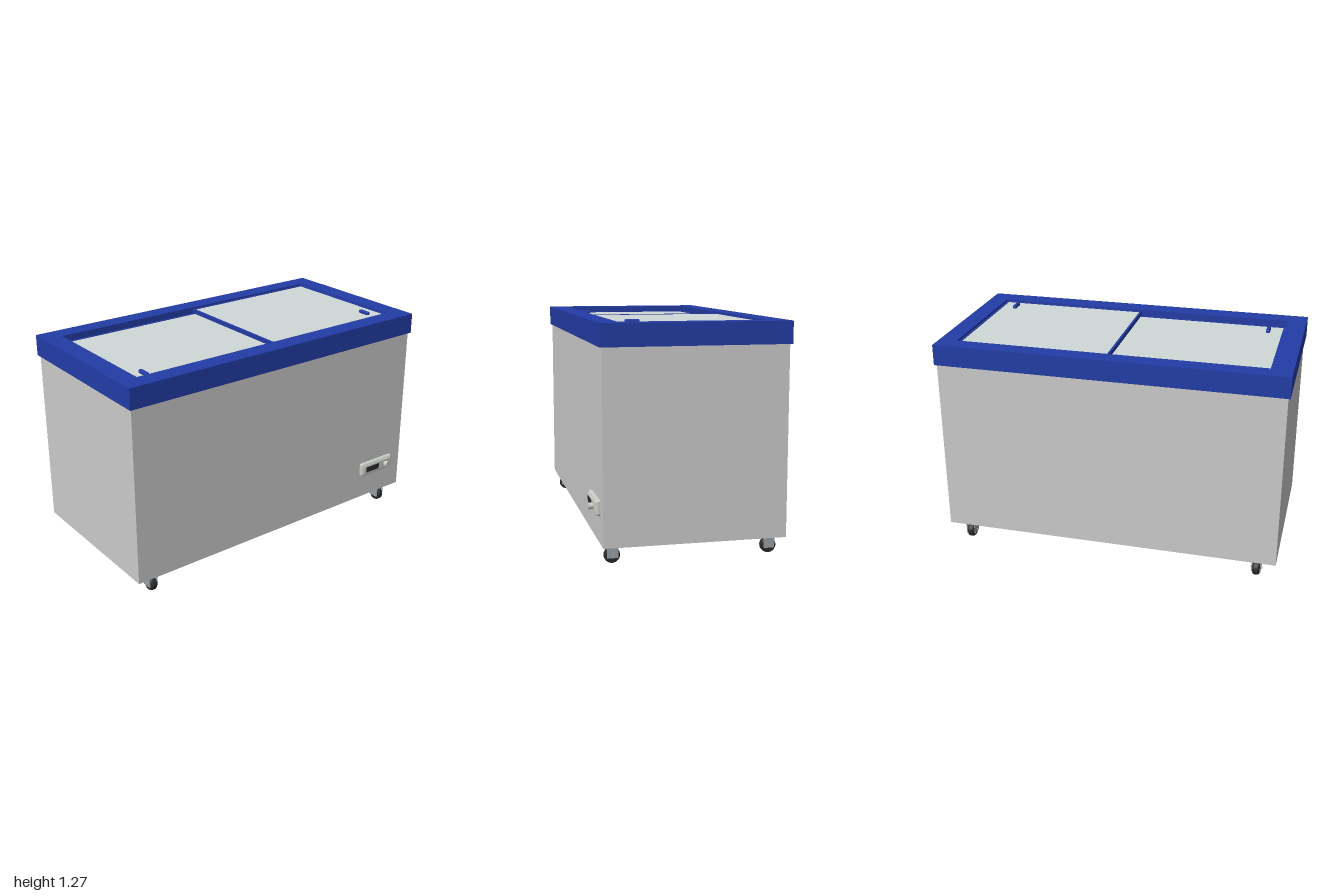
import * as THREE from 'three';
import { RoundedBoxGeometry } from 'three/addons/geometries/RoundedBoxGeometry.js';

const paint = (color) => new THREE.MeshStandardMaterial({ color });
const grey = paint(0xcccccc);
const blue = paint(0x233ca6);
const glass = paint(0xcfd8d8);
const steel = paint(0x98a0a4);
const rubber = paint(0x2b2c2e);
const panelGrey = paint(0xc9cdc6);

function add(parent, name, geometry, material, x = 0, y = 0, z = 0) {
  const mesh = new THREE.Mesh(geometry, material);
  mesh.name = name;
  mesh.position.set(x, y, z);
  parent.add(mesh);
  return mesh;
}

// Box given by its limits on each axis
function block(parent, name, material, [x0, x1], [y0, y1], [z0, z1]) {
  return add(parent, name, new THREE.BoxGeometry(x1 - x0, y1 - y0, z1 - z0), material,
    (x0 + x1) / 2, (y0 + y1) / 2, (z0 + z1) / 2);
}

// Flat rectangular ring lying in the xz plane, between heights y0 and y1
function ring(parent, name, material, [x0, x1, z0, z1], [a0, a1, b0, b1], y0, y1) {
  const rect = (P, l, r, n, f) => new P([[l, -f], [r, -f], [r, -n], [l, -n]]
    .map(([x, y]) => new THREE.Vector2(x, y)));
  const shape = rect(THREE.Shape, x0, x1, z0, z1);
  shape.holes.push(rect(THREE.Path, a0, a1, b0, b1));
  const geometry = new THREE.ExtrudeGeometry(shape, { depth: y1 - y0, bevelEnabled: false });
  geometry.rotateX(-Math.PI / 2);
  return add(parent, name, geometry, material, 0, y0, 0);
}

// Sliding lid: blue frame, glass pane and a small grip
function lid(name, [x0, x1, z0, z1], top, gripZ) {
  const g = new THREE.Group();
  g.name = name;
  const t = 0.012;
  ring(g, 'lidFrame', blue, [x0, x1, z0, z1], [x0 + t, x1 - t, z0 + t, z1 - t], top - 0.025, top);
  block(g, 'lidGlass', glass, [x0 + t, x1 - t], [top - 0.02, top - 0.003], [z0 + t, z1 - t]);
  add(g, 'lidGrip', new RoundedBoxGeometry(0.078, 0.022, 0.024, 3, 0.008), blue, 0.28, top + 0.004, gripZ);
  return g;
}

// Swivel caster with its axle along z
function caster(name) {
  const g = new THREE.Group();
  g.name = name;
  block(g, 'mountPlate', steel, [-0.044, 0.044], [0.104, 0.113], [-0.038, 0.038]);
  block(g, 'forkTop', steel, [-0.03, 0.03], [0.092, 0.105], [-0.027, 0.027]);
  const cheek = new THREE.Shape([[-0.03, 0.03], [0.03, 0.03], [0.03, 0.105], [-0.03, 0.105]]
    .map(([x, y]) => new THREE.Vector2(x, y)));
  for (const s of [-1, 1]) {
    const geo = new THREE.ExtrudeGeometry(cheek, { depth: 0.005, bevelEnabled: false });
    add(g, 'forkCheek', geo, steel, 0, 0, s * 0.0245 - 0.0025);
  }
  // Wheel with rounded shoulders
  const tread = [[0, -0.02], [0.034, -0.02], [0.041, -0.015], [0.043, -0.008],
    [0.043, 0.008], [0.041, 0.015], [0.034, 0.02], [0, 0.02]].map(([r, y]) => new THREE.Vector2(r, y));
  add(g, 'wheel', new THREE.LatheGeometry(tread, 32).rotateX(Math.PI / 2), rubber, 0, 0.043, 0);
  add(g, 'axle', new THREE.CylinderGeometry(0.006, 0.006, 0.068, 12).rotateX(Math.PI / 2), steel, 0, 0.045, 0);
  return g;
}

// Control panel on the +x side
function controlPanel() {
  const g = new THREE.Group();
  g.name = 'controlPanel';
  const y = 0.303, z = -0.775;
  add(g, 'panelHousing', new RoundedBoxGeometry(0.04, 0.085, 0.26, 3, 0.012), panelGrey, 0.474, y, z);
  add(g, 'panelFace', new RoundedBoxGeometry(0.02, 0.062, 0.235, 3, 0.006), panelGrey, 0.489, y, z);
  block(g, 'display', rubber, [0.49, 0.501], [0.286, 0.32], [-0.785, -0.68]);
  const turn = (r, h) => new THREE.CylinderGeometry(r, r, h, 28).rotateZ(-Math.PI / 2);
  add(g, 'knobBase', turn(0.015, 0.02), panelGrey, 0.505, y, -0.842);
  add(g, 'knob', turn(0.018, 0.017), panelGrey, 0.516, y, -0.842);
  block(g, 'knobMark', rubber, [0.52, 0.5255], [0.305, 0.32], [-0.8435, -0.8405]);
  return g;
}

export function createModel() {
  const model = new THREE.Group();
  model.name = 'chestFreezer';

  // Cabinet with a shallow lip round its underside
  const body = [-0.515, 0.472, -0.988, 0.988];
  block(model, 'cabinet', grey, [body[0], body[1]], [0.116, 1.15], [body[2], body[3]]);
  ring(model, 'baseLip', grey, body, [-0.475, 0.432, -0.948, 0.948], 0.11, 0.116);

  // Blue top rim with stepped opening
  const outer = [-0.527, 0.485, -1, 1];
  const opening = [-0.422, 0.375, -0.895, 0.888];
  const inner = [-0.405, 0.358, -0.875, 0.87];
  ring(model, 'topRim', blue, outer, opening, 1.205, 1.26);
  ring(model, 'rimSkirt', blue, outer, inner, 1.14, 1.205);

  // Two lids on separate tracks, the rear one higher
  model.add(lid('rearLid', [-0.416, 0.37, -0.889, -0.008], 1.252, -0.797));
  model.add(lid('frontLid', [-0.414, 0.364, -0.03, 0.882], 1.226, 0.787));

  model.add(controlPanel());

  // Casters near the four corners
  for (const x of [-0.452, 0.408]) {
    for (const z of [-0.875, 0.875]) {
      const c = caster((z > 0 ? 'front' : 'rear') + (x > 0 ? 'Left' : 'Right') + 'Caster');
      c.position.set(x, 0, z);
      model.add(c);
    }
  }
  return model;
}
